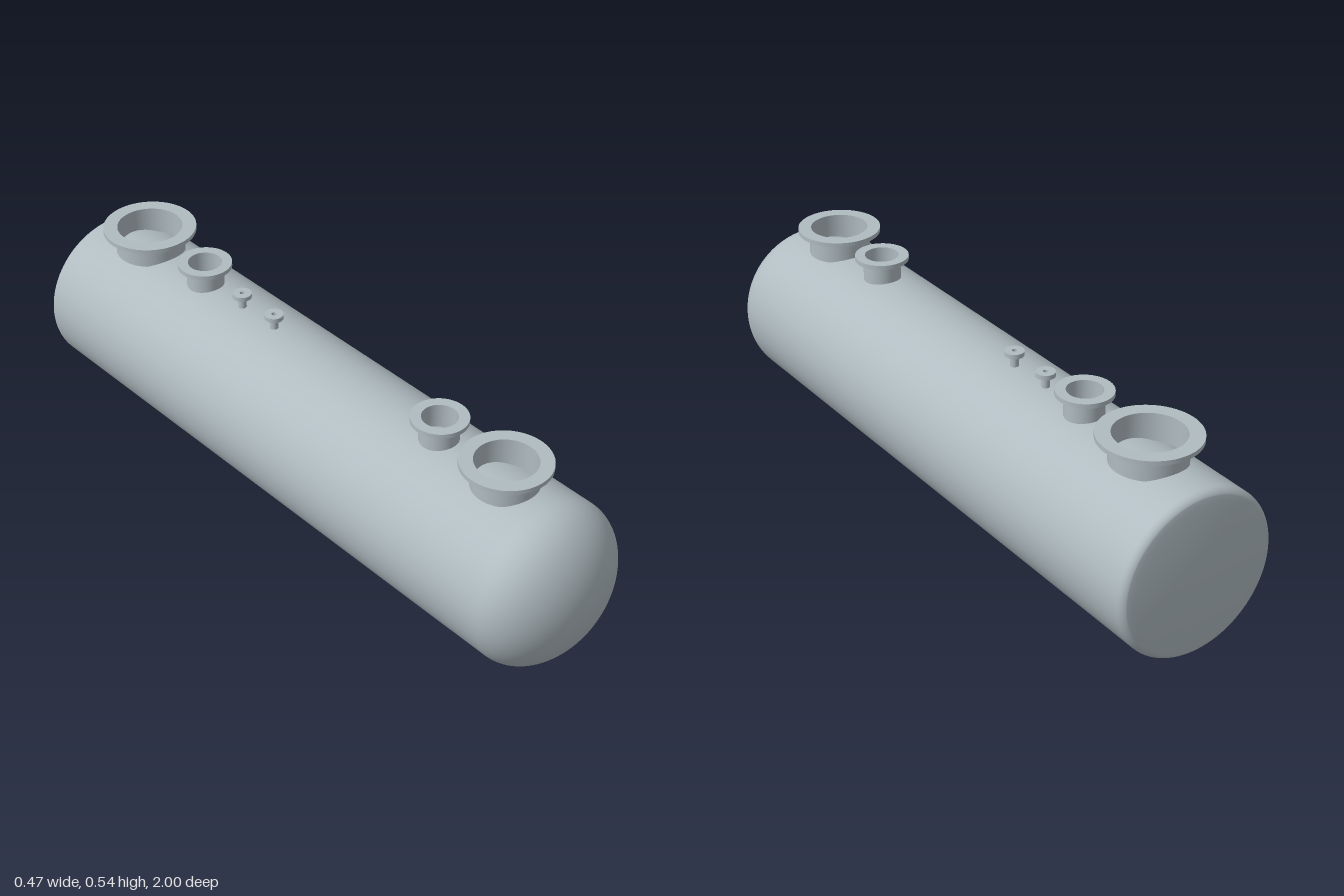
import * as THREE from 'three';
import { mergeGeometries } from 'three/addons/utils/BufferGeometryUtils.js';

const RADIUS = 0.237;

// Lathe with a hard edge at every profile corner
function sharpLathe(profile, segments) {
  const parts = [];
  for (let i = 0; i < profile.length - 1; i++) {
    const pair = [profile[i], profile[i + 1]].map(([r, y]) => new THREE.Vector2(r, y));
    parts.push(new THREE.LatheGeometry(pair, segments));
  }
  return mergeGeometries(parts);
}

export function createModel() {
  const group = new THREE.Group();
  const steel = new THREE.MeshStandardMaterial({ color: 0xb0bcc1 });
  steel.name = 'paleSteel';

  // Tank shell: shallow dished back, straight barrel, deep domed front
  const profile = [];
  const crown = 0.213, knuckle = RADIUS - crown;
  for (let i = 0; i <= 10; i++) {
    const r = (crown - 0.006) * i / 10;
    profile.push(new THREE.Vector2(r, -1 + 0.012 * (r / crown) ** 2));
  }
  for (let i = 1; i <= 10; i++) {
    const a = (0.15 + 0.85 * i / 10) * Math.PI / 2;
    profile.push(new THREE.Vector2(crown + knuckle * Math.sin(a), -0.963 - 0.025 * Math.cos(a)));
  }
  profile.push(new THREE.Vector2(RADIUS, -0.95), new THREE.Vector2(RADIUS, 0.83));
  for (let i = 0; i <= 28; i++) {
    const a = i / 28 * Math.PI / 2;
    profile.push(new THREE.Vector2(i === 28 ? 0 : RADIUS * Math.cos(a), 0.843 + 0.157 * Math.sin(a)));
  }
  const shell = new THREE.Mesh(new THREE.LatheGeometry(profile, 96), steel);
  shell.name = 'tankShell';
  shell.rotation.x = Math.PI / 2;
  shell.position.y = RADIUS;
  group.add(shell);

  // Flanged open nozzles along the top
  const nozzles = [
    { name: 'frontManway', z: 0.70, flange: 0.122, neck: 0.09, bore: 0.084, top: 0.542 },
    { name: 'frontNozzle', z: 0.46, flange: 0.078, neck: 0.054, bore: 0.049, top: 0.542 },
    { name: 'frontSmallPort', z: -0.205, flange: 0.027, neck: 0.012, bore: 0.007, top: 0.519 },
    { name: 'backSmallPort', z: -0.345, flange: 0.027, neck: 0.012, bore: 0.007, top: 0.519 },
    { name: 'backNozzle', z: -0.513, flange: 0.078, neck: 0.054, bore: 0.049, top: 0.542 },
    { name: 'backManway', z: -0.775, flange: 0.137, neck: 0.102, bore: 0.096, top: 0.542 },
  ];
  for (const { name, z, flange, neck, bore, top } of nozzles) {
    const base = 0.463, under = top - 0.013;
    const mesh = new THREE.Mesh(sharpLathe([
      [bore, base], [neck, base], [neck, under], [flange, under],
      [flange, top], [bore, top], [bore, base],
    ], 64), steel);
    mesh.name = name;
    mesh.position.z = z;
    group.add(mesh);
  }
  return group;
}
